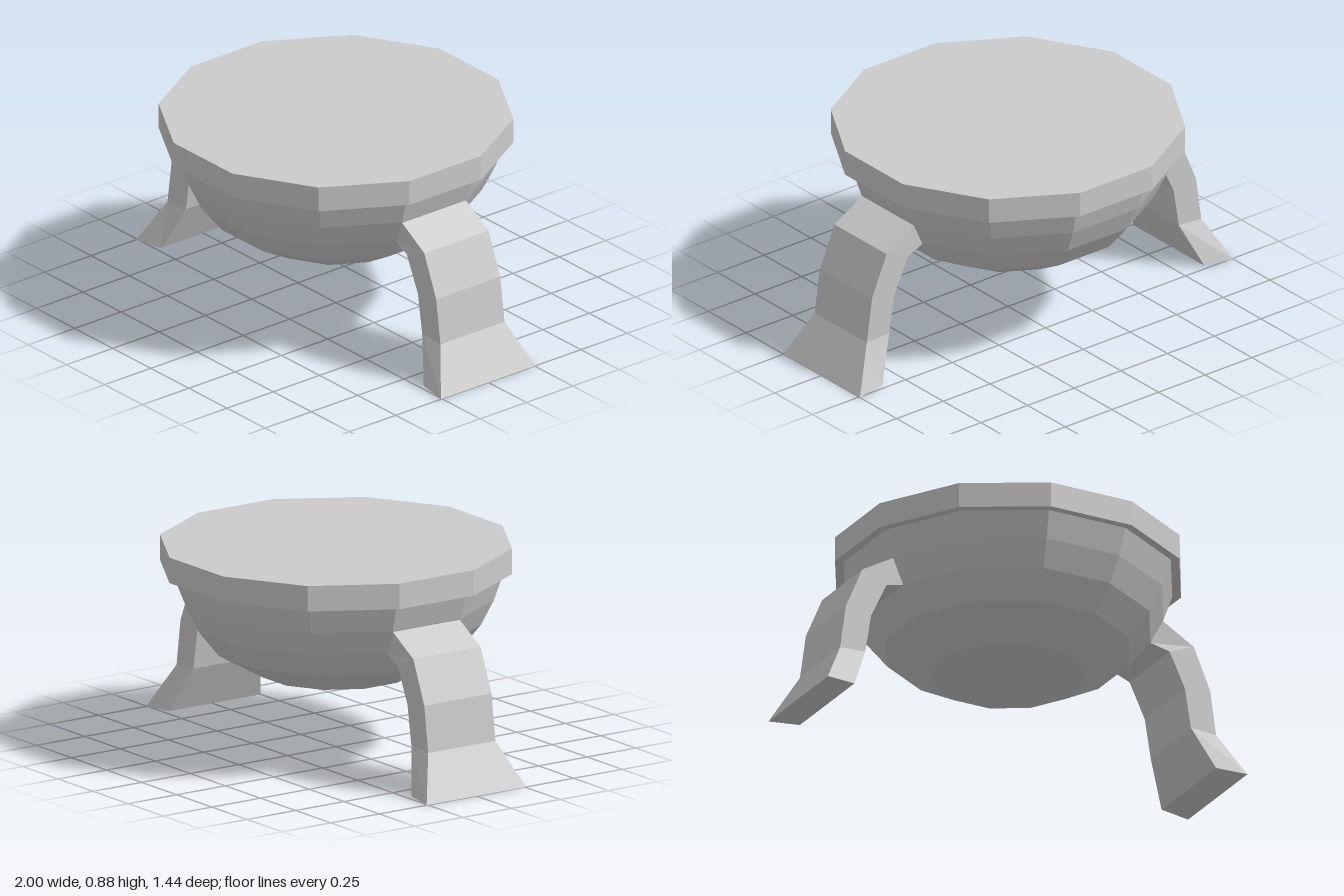
import * as THREE from 'three';

const SIDES = 12;
const FLAT = Math.cos(Math.PI / SIDES); // centre-to-flat over centre-to-corner

const material = new THREE.MeshStandardMaterial({ color: 0xcccccc, flatShading: true });

// Twelve-sided turned part; profile gives [distance to flat, height], bottom to top
function turned(name, profile) {
  const points = profile.map(([r, y]) => new THREE.Vector2(r / FLAT, y));
  const mesh = new THREE.Mesh(new THREE.LatheGeometry(points, SIDES, Math.PI / SIDES), material);
  mesh.name = name;
  return mesh;
}

// Leg sections from bowl to floor: outer [x, y, half width], inner [x, y, half width]
const LEG = [
  [[0.64, 0.66, 0.172], [0.588, 0.55, 0.162]],
  [[0.79, 0.572, 0.173], [0.675, 0.525, 0.173]],
  [[0.868, 0.388, 0.173], [0.748, 0.37, 0.173]],
  [[0.896, 0.19, 0.173], [0.776, 0.197, 0.173]],
  [[1.0, 0, 0.256], [0.862, 0.006, 0.235]],
];

function legGeometry() {
  const rings = LEG.map(([[ox, oy, ow], [ix, iy, iw]]) => [
    [ox, oy, ow], [ox, oy, -ow], [ix, iy, -iw], [ix, iy, iw],
  ]);
  const positions = [];
  const quad = (a, b, c, d) => positions.push(...a, ...b, ...c, ...a, ...c, ...d);
  for (let i = 0; i < rings.length - 1; i++) {
    for (let j = 0; j < 4; j++) {
      const k = (j + 1) % 4;
      quad(rings[i][j], rings[i + 1][j], rings[i + 1][k], rings[i][k]);
    }
  }
  // Sole of the foot
  const foot = rings[rings.length - 1];
  quad(foot[3], foot[2], foot[1], foot[0]);
  const geometry = new THREE.BufferGeometry();
  geometry.setAttribute('position', new THREE.Float32BufferAttribute(positions, 3));
  geometry.computeVertexNormals();
  return geometry;
}

export function createModel() {
  const model = new THREE.Group();
  model.name = 'footedBowl';

  // Faceted bowl
  model.add(turned('bowl', [
    [0, 0.267], [0.317, 0.33], [0.505, 0.44], [0.592, 0.552], [0.645, 0.662], [0.682, 0.775],
  ]));

  // Overhanging rim with a closed flat top
  model.add(turned('rim', [[0.682, 0.775], [0.718, 0.775], [0.718, 0.885], [0, 0.885]]));

  // Two bent legs with flared feet
  const geometry = legGeometry();
  ['leftLeg', 'rightLeg'].forEach((name, i) => {
    const leg = new THREE.Mesh(geometry, material);
    leg.name = name;
    leg.rotation.y = i * Math.PI;
    model.add(leg);
  });

  return model;
}
